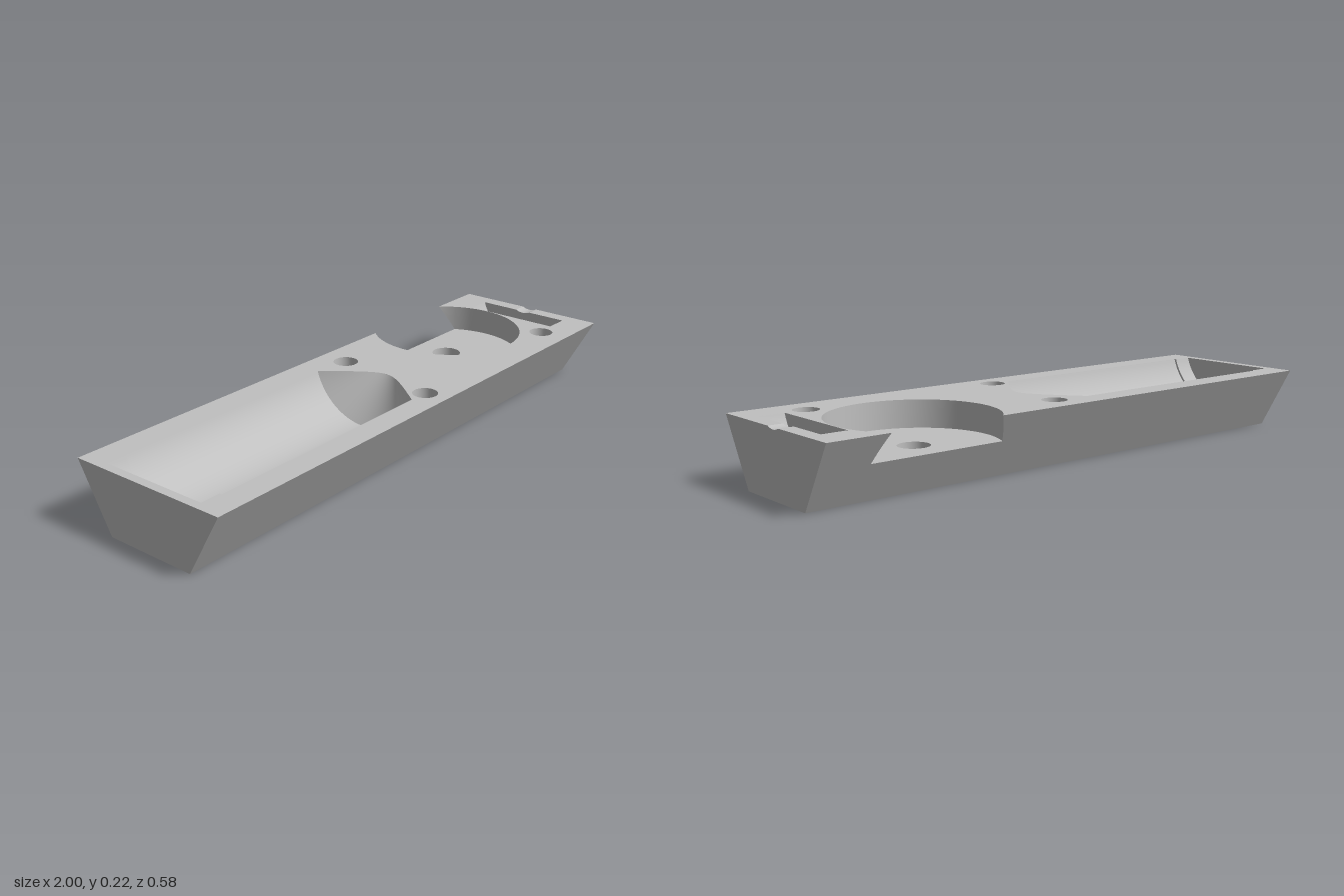
import * as THREE from 'three';
import { mergeGeometries } from 'three/addons/utils/BufferGeometryUtils.js';

const TOP = 0.22, HALF_TOP = 0.29, HALF_BOTTOM = 0.165;
const AXIS = 0.061; // height of the trough axis above the top face
const POCKET = { x: 0.588, z: -0.107, r: 0.272, floor: 0.127 };
const PIN_HOLES = [[0.09, -0.186], [0.033, 0.203], [0.785, 0.184]];
const PIN_R = 0.043, SCREW_R = 0.052;

const sideZ = (y) => HALF_BOTTOM + (HALF_TOP - HALF_BOTTOM) * y / TOP;
const halfChord = (r) => Math.sqrt(Math.max(0, r * r - AXIS * AXIS));

// Smooth surface through rows of [x, y, z] points
function loft(rows) {
  const n = rows[0].length, index = [];
  for (let j = 0; j < rows.length - 1; j++) {
    for (let i = 0; i < n - 1; i++) {
      const a = j * n + i, b = a + n;
      index.push(a, b, a + 1, b, b + 1, a + 1);
    }
  }
  const g = new THREE.BufferGeometry();
  g.setAttribute('position', new THREE.Float32BufferAttribute(rows.flat(2), 3));
  g.setIndex(index);
  g.computeVertexNormals();
  return g;
}

function flat(points, holes = []) {
  const shape = new THREE.Shape(points.map(([x, y]) => new THREE.Vector2(x, y)));
  holes.forEach((h) => shape.holes.push(new THREE.Path(h.map(([x, y]) => new THREE.Vector2(x, y)))));
  return new THREE.ShapeGeometry(shape);
}

// Horizontal face from [x, z] outlines
function level(y, points, holes = []) {
  const flip = (list) => list.map(([x, z]) => [x, -z]);
  return flat(flip(points), holes.map(flip)).rotateX(-Math.PI / 2).translate(0, y, 0);
}

function circle(cx, cz, r, n = 40) {
  return Array.from({ length: n }, (_, i) => {
    const a = i / n * Math.PI * 2;
    return [cx + r * Math.cos(a), cz + r * Math.sin(a)];
  });
}

// Arc of a round trough below the top face, at x
function section(x, r, n = 48) {
  const span = Math.acos(Math.min(1, AXIS / r));
  return Array.from({ length: n + 1 }, (_, i) => {
    const a = (i / n * 2 - 1) * span;
    return [x, TOP + AXIS - r * Math.cos(a), r * Math.sin(a)];
  });
}

// Trough from groups of [x, radius], closed by a flat wall at its low x end
function trough(groups) {
  const parts = groups.map((g) => loft(g.map(([x, r]) => section(x, r))));
  const end = section(...groups.at(-1).at(-1));
  parts.push(loft([end, end.map(([x, , z]) => [x, TOP, z])]));
  return mergeGeometries(parts);
}

// Blind hole with a flat floor
function blindHole(x, y, z, r, depth) {
  const parts = [[[r, 0], [r, -depth]], [[r, -depth], [0, -depth]]].map((seg) =>
    new THREE.LatheGeometry(seg.map(([a, b]) => new THREE.Vector2(a, b)), 40));
  return mergeGeometries(parts).translate(x, y, z);
}

export function createModel() {
  const group = new THREE.Group();
  const material = new THREE.MeshStandardMaterial({ color: 0xc0c0c0 });
  material.name = 'light grey';
  const add = (name, geometry) => {
    const mesh = new THREE.Mesh(geometry, material);
    mesh.name = name;
    group.add(mesh);
  };

  // Pocket rim: down the sloping back, round the floor, and up again
  const STEPS = 10;
  const rim = [];
  const rimPoint = (a, y) => rim.push([POCKET.x + POCKET.r * Math.cos(a), y, POCKET.z + POCKET.r * Math.sin(a)]);
  const breakAngle = (y) => Math.asin((-sideZ(y) - POCKET.z) / POCKET.r);
  const breakY = (i) => TOP + (POCKET.floor - TOP) * i / STEPS;
  const start = breakAngle(POCKET.floor);
  for (let i = 0; i < STEPS; i++) rimPoint(breakAngle(breakY(i)), breakY(i));
  for (let i = 0; i <= 72; i++) rimPoint(start + (Math.PI - 2 * start) * i / 72, POCKET.floor);
  for (let i = STEPS - 1; i >= 0; i--) rimPoint(Math.PI - breakAngle(breakY(i)), breakY(i));

  // Barrel trough with a conical nose and a narrower tail
  const nose = Array.from({ length: 21 }, (_, i) => {
    const t = (i / 20) ** 2;
    return [0.085 - 0.125 * t, AXIS + (0.212 - AXIS) * t];
  });
  const barrel = [nose, [[-0.04, 0.212], [-0.9, 0.212]], [[-0.9, 0.212], [-0.9, 0.204]], [[-0.9, 0.204], [-0.97, 0.204]]];
  add('barrelTrough', trough(barrel));

  // Disc slot with the shallow groove leading to the end face
  const grooveR = 0.068, slotR = 0.189, slotIn = 0.862, slotOut = 0.95;
  add('discSlot', trough([
    [[1, grooveR], [slotOut, grooveR]],
    [[slotOut, grooveR], [slotOut, slotR]],
    [[slotOut, slotR], [slotIn, slotR]],
  ]));

  // Top face
  const g = halfChord(grooveR), s = halfChord(slotR);
  const slotSide = [[1, g], [slotOut, g], [slotOut, s], [slotIn, s]];
  const barrelSide = barrel.flat().filter(([x, r], i, all) => !i || x !== all[i - 1][0] || r !== all[i - 1][1])
    .map(([x, r]) => [x, halfChord(r)]);
  const topOutline = [
    [-1, -HALF_TOP],
    ...rim.map(([x, , z]) => [x, z]).reverse(),
    [1, -HALF_TOP],
    ...slotSide.map(([x, z]) => [x, -z]),
    ...slotSide.slice().reverse(),
    [1, HALF_TOP], [-1, HALF_TOP],
  ];
  const barrelOutline = [...barrelSide, ...barrelSide.slice(1).reverse().map(([x, z]) => [x, -z])];
  add('topFace', level(TOP, topOutline, [barrelOutline, ...PIN_HOLES.map(([x, z]) => circle(x, z, PIN_R))]));

  // Round pocket open through the back
  add('pocketWall', loft([rim.map(([x, , z]) => [x, TOP, z]), rim]));
  add('pocketFloor', level(POCKET.floor, rim.slice(STEPS, -STEPS).map(([x, , z]) => [x, z]),
    [circle(POCKET.x, POCKET.z, SCREW_R)]));
  add('screwHole', blindHole(POCKET.x, POCKET.floor, POCKET.z, SCREW_R, 0.08));
  PIN_HOLES.forEach(([x, z]) => add('pinHole', blindHole(x, TOP, z, PIN_R, 0.07)));

  // Sloping front and flat base
  const edge = (y, z) => [[-1, y, z], [1, y, z]];
  add('frontFace', loft([edge(TOP, HALF_TOP), edge(0, HALF_BOTTOM)]));
  add('baseFace', loft([edge(0, HALF_BOTTOM), edge(0, -HALF_BOTTOM)]));

  // Sloping back with the pocket notch, sheared into place
  const back = flat([
    [1, 0], [-1, 0], [-1, TOP],
    ...rim.slice(0, STEPS + 1).map(([x, y]) => [-x, y]),
    ...rim.slice(-STEPS - 1).map(([x, y]) => [-x, y]),
    [1, TOP],
  ]).rotateY(Math.PI);
  const p = back.attributes.position;
  for (let i = 0; i < p.count; i++) p.setZ(i, -sideZ(p.getY(i)));
  back.computeVertexNormals();
  add('backFace', back);

  // End faces, the right-hand one notched by the groove
  const ends = [[-HALF_TOP, TOP], [-HALF_BOTTOM, 0], [HALF_BOTTOM, 0], [HALF_TOP, TOP]];
  const notch = section(1, grooveR).map(([, y, z]) => [z, y]).reverse();
  add('plainEnd', flat(ends).rotateY(-Math.PI / 2).translate(-1, 0, 0));
  add('groovedEnd', flat([...ends, ...notch]).rotateY(Math.PI / 2).translate(1, 0, 0));

  return group;
}
